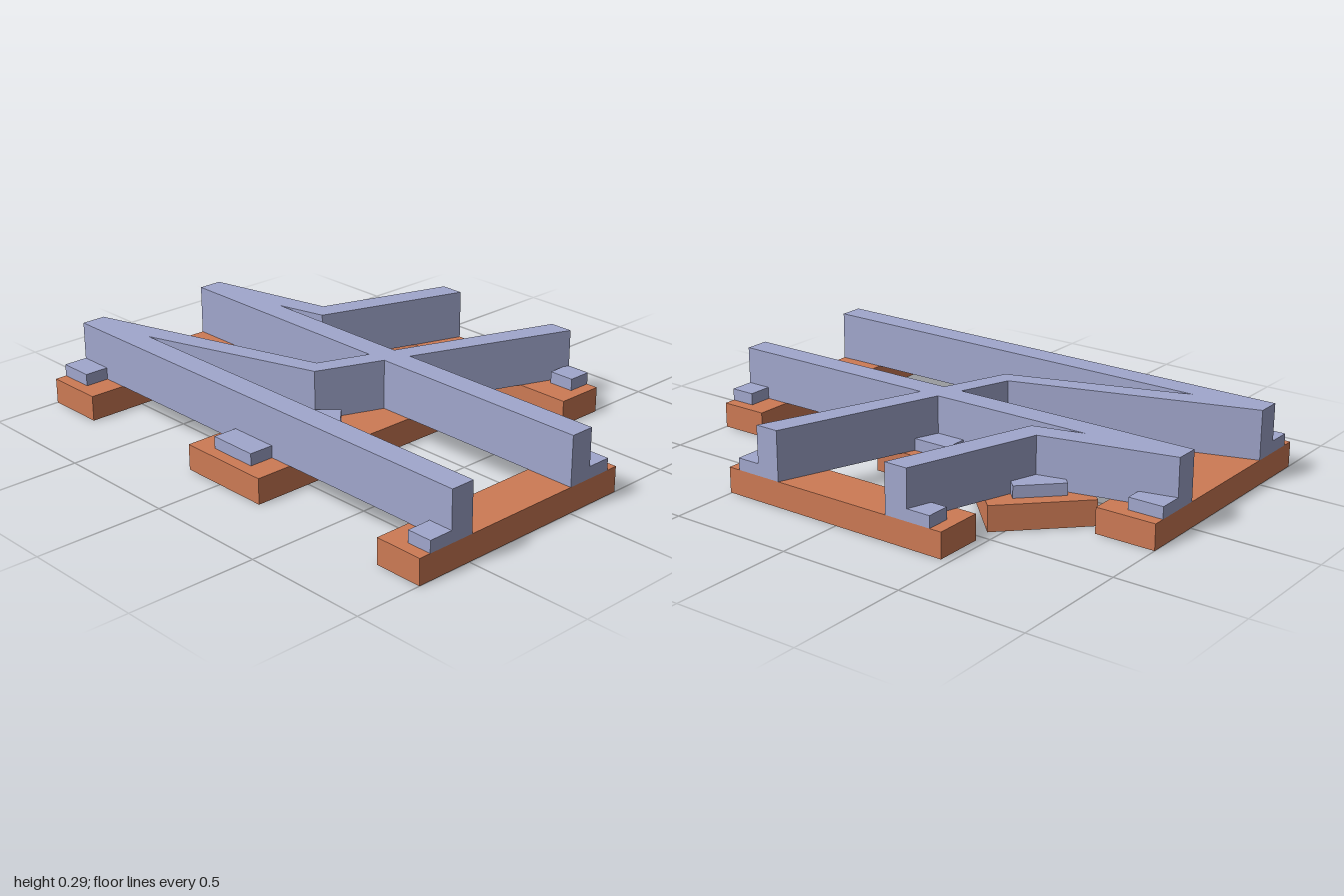
import * as THREE from 'three';

const TIE_TOP = 0.1, CLIP_TOP = 0.147, RAIL_TOP = 0.295;

export function createModel() {
  const model = new THREE.Group();
  const wood = new THREE.MeshStandardMaterial({ name: 'wood', color: 0xcd7a55 });
  const steel = new THREE.MeshStandardMaterial({ name: 'steel', color: 0xa1a7cd });

  // Block spanning y0..y1, placed by its centre in plan and turned about y
  function block(name, material, x, z, width, depth, y0, y1, turn = 0) {
    const mesh = new THREE.Mesh(new THREE.BoxGeometry(width, y1 - y0, depth), material);
    mesh.name = name;
    mesh.position.set(x, (y0 + y1) / 2, z);
    mesh.rotation.y = turn;
    model.add(mesh);
  }

  // Rail extruded upward from an outline of [x, z] points
  function bentRail(name, outline) {
    const shape = new THREE.Shape(outline.map(([x, z]) => new THREE.Vector2(x, -z)));
    const geometry = new THREE.ExtrudeGeometry(shape, { depth: RAIL_TOP - TIE_TOP, bevelEnabled: false });
    geometry.rotateX(-Math.PI / 2).translate(0, TIE_TOP, 0);
    const mesh = new THREE.Mesh(geometry, steel);
    mesh.name = name;
    model.add(mesh);
  }

  // Main track: ties with a clip outside each rail
  const mainTies = [
    ['back', -1, -0.76, -1, -0.86],
    ['middle', -0.17, 0.215, -0.08, 0.12],
    ['front', 0.805, 1, 0.9, 1],
  ];
  for (const [name, z0, z1, c0, c1] of mainTies) {
    block(name + 'Tie', wood, -0.245, (z0 + z1) / 2, 0.97, z1 - z0, 0, TIE_TOP);
    for (const side of [-1, 1]) {
      block(name + 'Clip', steel, -0.245 + side * 0.365, (c0 + c1) / 2, 0.146, c1 - c0, TIE_TOP, CLIP_TOP);
    }
  }

  // Diagonal tie under the turnout, with its two clips
  const turn = Math.PI / 4;
  block('diagonalTie', wood, -0.0275, -0.2475, 0.976, 0.389, 0, TIE_TOP, turn);
  for (const side of [-1, 1]) {
    block('diagonalClip', steel, -0.0275 + side * 0.273, -0.2475 - side * 0.273,
      0.1, 0.195, TIE_TOP, CLIP_TOP, turn);
  }

  // Side tie where the branch leaves, with its two clips
  block('sideTie', wood, 0.6325, 0.02, 0.195, 0.97, 0, TIE_TOP);
  for (const side of [-1, 1]) {
    block('sideClip', steel, 0.6825, 0.02 + side * 0.385, 0.095, 0.104, TIE_TOP, CLIP_TOP);
  }

  // Straight rails
  for (const x of [-0.5375, 0.0475]) {
    block('straightRail', steel, x, 0, 0.097, 2, TIE_TOP, RAIL_TOP);
  }

  // Branch rails
  bentRail('outerBranchRail', [
    [-0.585, -1], [-0.26, -0.015], [0.73, 0.362], [0.73, 0.267], [-0.2, -0.07], [-0.49, -1],
  ]);
  bentRail('innerBranchRail', [
    [0, -1], [0.145, -0.42], [0.73, -0.225], [0.73, -0.32], [0.214, -0.49], [0.095, -1],
  ]);
  return model;
}
